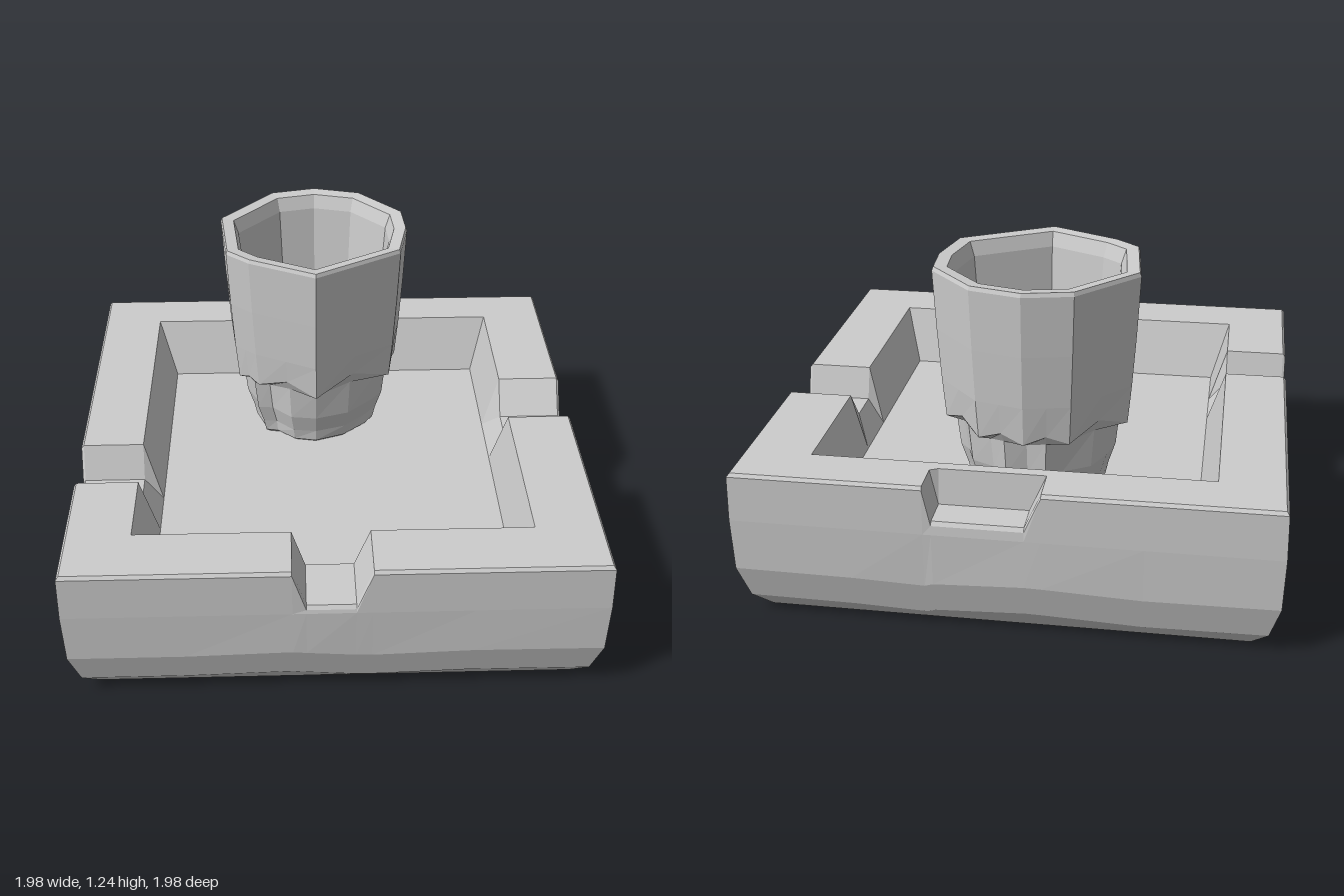
import * as THREE from 'three';

// Skin a list of closed rings (counter-clockwise from above), capping first and last.
function loft(rings) {
  const pos = [];
  const tri = (...pts) => pts.forEach((p) => pos.push(...p));
  const centre = (ring) => [0, 1, 2].map((k) => ring.reduce((s, p) => s + p[k], 0) / ring.length);
  const n = rings[0].length;
  const top = rings[rings.length - 1];
  const low = centre(rings[0]);
  const high = centre(top);
  for (let i = 0; i < n; i++) {
    const e = (i + 1) % n;
    for (let j = 0; j < rings.length - 1; j++) {
      const a = rings[j][i], b = rings[j][e], c = rings[j + 1][e], d = rings[j + 1][i];
      tri(a, b, c);
      tri(a, c, d);
    }
    tri(rings[0][e], rings[0][i], low);
    tri(top[i], top[e], high);
  }
  const geometry = new THREE.BufferGeometry();
  geometry.setAttribute('position', new THREE.Float32BufferAttribute(pos, 3));
  geometry.computeVertexNormals();
  return geometry;
}

// Square tray: each side has its own notch [outer, inner, inner, outer] along the side.
function trayGeometry() {
  const sides = [
    { rim: 0.75, floor: 0.67, notch: [-0.16, -0.11, 0.07, 0.13], y: 0.43 },                // front
    { rim: 0.73, floor: 0.67, notch: [-0.03, 0.01, 0.16, 0.26], y: 0.46 },                 // left
    { rim: 0.79, floor: 0.71, notch: [-0.28, -0.25, 0.08, 0.14], y: 0.45, pocket: true },  // back
    { rim: 0.74, floor: 0.67, notch: [0.18, 0.23, 0.4, 0.43], y: 0.45 },                   // right
  ];
  // Profile from the base, up the outside, across the rim and down to the floor
  const profile = (s) => [
    [0.885, 0], [0.945, 0.07], [0.982, 0.2], [0.988, 0.4], [0.985, 0.572], [0.975, 0.585],
    [0.85, 0.585], [0.835, 0.585], [s.rim, 0.585], [s.floor, 0.355],
  ];
  const place = (k, t, h, y) => [[t, y, h], [h, y, -t], [-t, y, -h], [-h, y, t]][k];
  return loft(profile(sides[0]).map((_, j) => {
    const ring = [];
    sides.forEach((s, k) => {
      const [h, y] = profile(s)[j];
      const previous = profile(sides[(k + 3) % 4])[j][0];
      ring.push(place(k, -previous, h, y));
      [-0.55, ...s.notch, 0.5].forEach((t, i) => {
        // Slightly uneven belly, and the floor of the notch
        const belly = j === 1 || j === 2 ? Math.sin(i * 1.3 + k * 1.7) : 0;
        const cut = (i === 2 || i === 3) && j > 3 && j < (s.pocket ? 7 : 9);
        const py = cut ? Math.min(y, j === 4 ? s.y - 0.015 : s.y) : y + belly * 0.015;
        ring.push(place(k, t, h + belly * 0.004, py));
      });
    });
    return ring;
  }));
}

// Faceted cup: one irregular outline scaled up the profile, with arches at the foot.
function cupGeometry() {
  const outline = [
    [0, 0.39], [0.34, 0.19], [0.38, -0.01], [0.37, -0.16], [0.2, -0.35],
    [0.01, -0.4], [-0.17, -0.36], [-0.38, -0.12], [-0.35, 0.18], [-0.26, 0.26],
  ];
  // [scale, height, arch lift at facet middles, corner scale]
  const profile = [
    [0.6, 0.345, 0, 0.9], [0.69, 0.37, 0, 0.9], [0.72, 0.42, 0, 0.88], [0.79, 0.5, 0, 0.88],
    [0.83, 0.62, 0.1, 0.88], [0.9, 0.65, 0.16, 1],
    [0.935, 0.8, 0, 1], [0.97, 1.0, 0, 1], [1, 1.225, 0, 1], [0.985, 1.24, 0, 1],
    [0.86, 1.235, 0, 1], [0.81, 1.18, 0, 1], [0.71, 0.68, 0, 1], [0.6, 0.61, 0, 1],
  ];
  return loft(profile.map(([scale, y, lift, corner]) => outline.flatMap(([x, z], i) => {
    const [nx, nz] = outline[(i + 1) % outline.length];
    const length = Math.hypot(nx - x, nz - z);
    return [
      [x * scale * corner, y, z * scale * corner],
      [(x + nx) / 2 * scale, y + lift * length, (z + nz) / 2 * scale],
    ];
  })));
}

export function createModel() {
  const model = new THREE.Group();
  model.name = 'ashtrayWithCup';
  const grey = new THREE.MeshStandardMaterial({ color: 0xcccccc });
  grey.name = 'pale grey';

  const tray = new THREE.Mesh(trayGeometry(), grey);
  tray.name = 'tray';

  const cup = new THREE.Mesh(cupGeometry(), grey);
  cup.name = 'cup';
  cup.position.set(-0.05, 0, -0.38);

  model.add(tray, cup);
  return model;
}
